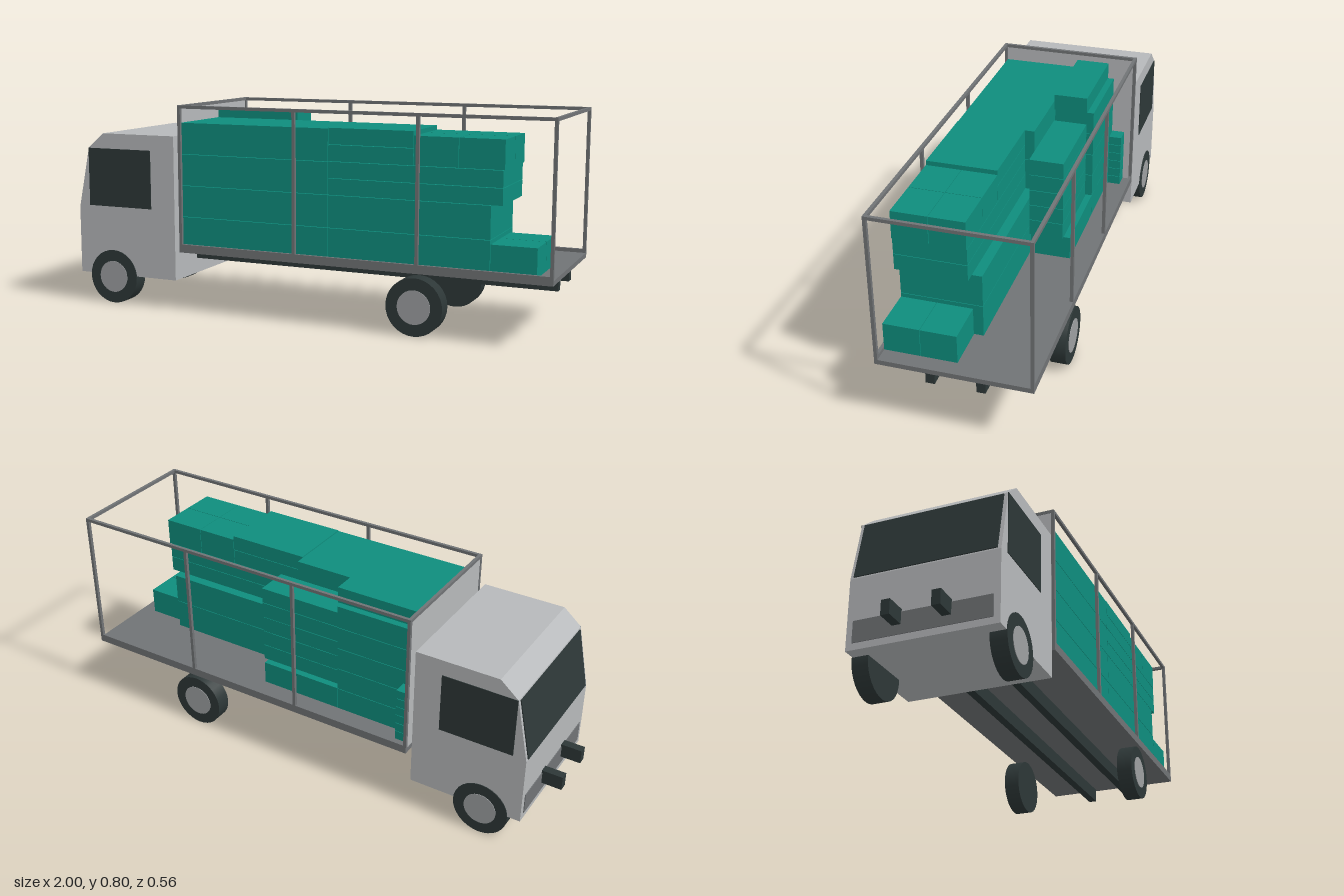
import * as THREE from 'three';

const mat = (name, color) => {
  const m = new THREE.MeshStandardMaterial({ color });
  m.name = name;
  return m;
};

export function createModel() {
  const paint = mat('cabGrey', 0xb6b8ba);
  const steel = mat('bedGrey', 0x707375);
  const dark = mat('charcoal', 0x2d3737);
  const metal = mat('hubGrey', 0x9d9fa1);
  const teal = mat('cargoTeal', 0x0e8d7d);

  const truck = new THREE.Group();
  truck.name = 'truck';
  const group = (name) => {
    const g = new THREE.Group();
    g.name = name;
    truck.add(g);
    return g;
  };
  // Box given by its limits on each axis
  const box = (parent, name, material, [x0, x1], [y0, y1], [z0, z1]) => {
    const m = new THREE.Mesh(new THREE.BoxGeometry(x1 - x0, y1 - y0, z1 - z0), material);
    m.position.set((x0 + x1) / 2, (y0 + y1) / 2, (z0 + z1) / 2);
    m.name = name;
    parent.add(m);
    return m;
  };

  // Cab: side profile extruded across the width
  const cab = group('cab');
  const profile = [[-0.92, 0.115], [-0.48, 0.115], [-0.48, 0.68], [-0.8, 0.68], [-0.87, 0.62], [-0.92, 0.38]];
  const shape = new THREE.Shape(profile.map(([x, y]) => new THREE.Vector2(x, y)));
  const shell = new THREE.Mesh(
    new THREE.ExtrudeGeometry(shape, { depth: 0.546, bevelEnabled: false }).translate(0, 0, -0.273), paint);
  shell.name = 'cabShell';
  cab.add(shell);

  // Windows and front panel as thin plates
  for (const s of [-1, 1]) {
    const z = s * 0.2735;
    box(cab, 'sideWindow', dark, [-0.87, -0.585], [0.39, 0.62], [z - 0.002, z + 0.002]);
  }
  const screen = box(cab, 'windscreen', dark, [-0.899, -0.893], [0.383, 0.617], [-0.26, 0.26]);
  screen.rotation.z = -Math.atan2(0.05, 0.24);
  box(cab, 'frontPanel', steel, [-0.923, -0.918], [0.14, 0.22], [-0.25, 0.25]);

  // Chassis rails
  const chassis = group('chassis');
  for (const s of [-1, 1]) {
    box(chassis, 'chassisRail', dark, [-1, 0.98], [0.175, 0.23], [s * 0.089 - 0.016, s * 0.089 + 0.016]);
  }

  // Wheels, with a hub on the outer side
  const wheels = group('wheels');
  const tyreGeo = new THREE.CylinderGeometry(0.107, 0.107, 0.061, 32).rotateX(Math.PI / 2);
  const hubGeo = new THREE.CylinderGeometry(0.063, 0.063, 0.006, 32).rotateX(Math.PI / 2);
  for (const x of [-0.765, 0.503]) {
    for (const s of [-1, 1]) {
      const tyre = new THREE.Mesh(tyreGeo, dark);
      tyre.name = 'tyre';
      tyre.position.set(x, 0.107, s * 0.2455);
      const hub = new THREE.Mesh(hubGeo, metal);
      hub.name = 'hub';
      hub.position.set(x, 0.107, s * 0.275);
      wheels.add(tyre, hub);
    }
  }

  // Load bed with open frame and front headboard
  const bed = group('loadBed');
  const T = 0.012;
  const Z = 0.277;
  box(bed, 'bedFloor', steel, [-0.458, 1], [0.23, 0.248], [-Z, Z]);
  box(bed, 'headboard', paint, [-0.456, -0.451], [0.248, 0.79], [-Z + T, Z - T]);
  for (const s of [-1, 1]) {
    const z = s > 0 ? [Z - T, Z] : [-Z, -Z + T];
    box(bed, 'topRail', steel, [-0.458, 1], [0.8 - T, 0.8], z);
    box(bed, 'bottomRail', steel, [-0.458, 1], [0.248, 0.262], z);
    for (const x of [-0.452, 0.03, 0.51, 0.994]) {
      box(bed, 'post', steel, [x - T / 2, x + T / 2], [0.248, 0.8 - T], z);
    }
  }
  for (const x of [-0.452, 0.994]) {
    box(bed, 'crossBar', steel, [x - T / 2, x + T / 2], [0.8 - T, 0.8], [-Z + T, Z - T]);
  }

  // Cargo: stacks of equal boxes, with a fine gap between neighbours
  const cargo = group('cargo');
  const G = 0.001;
  const stack = ([x0, x1], [y0, y1], [z0, z1], layers = 1) => {
    const h = (y1 - y0) / layers;
    for (let i = 0; i < layers; i++) {
      const y = y0 + i * h;
      box(cargo, 'cargoBox', teal, [x0 + G, x1 - G], [y + G, y + h - G], [z0 + G, z1 - G]);
    }
  };
  const base = 0.248;
  const front = -0.451;
  const wide = [-0.032, 0.266];
  const outer = [0.003, 0.266];
  const halves = [[0.003, 0.134], [0.134, 0.266]];

  // +z side
  stack([front, 0.165], [base, 0.734], wide, 4);
  stack([0.165, 0.776], [base, 0.491], wide, 2);
  stack([0.165, 0.817], [0.491, 0.614], outer, 2);
  stack([0.165, 0.492], [0.614, 0.737], outer, 2);
  for (const z of halves) {
    stack([0.492, 0.657], [0.614, 0.721], z);
    stack([0.657, 0.822], [0.614, 0.721], z);
    stack([0.776, 0.942], [base, 0.356], z);
  }

  // -z side
  stack([front, -0.11], [base, 0.701], [-0.188, -0.033], 5);
  stack([front, -0.097], [0.701, 0.766], [-0.164, -0.033]);
  stack([-0.11, 0.225], [base, 0.34], [-0.188, -0.033]);
  stack([-0.097, 0.242], [0.34, 0.658], [-0.164, -0.033], 5);
  stack([front, -0.39], [base, 0.466], [-0.24, -0.188], 6);

  return truck;
}
